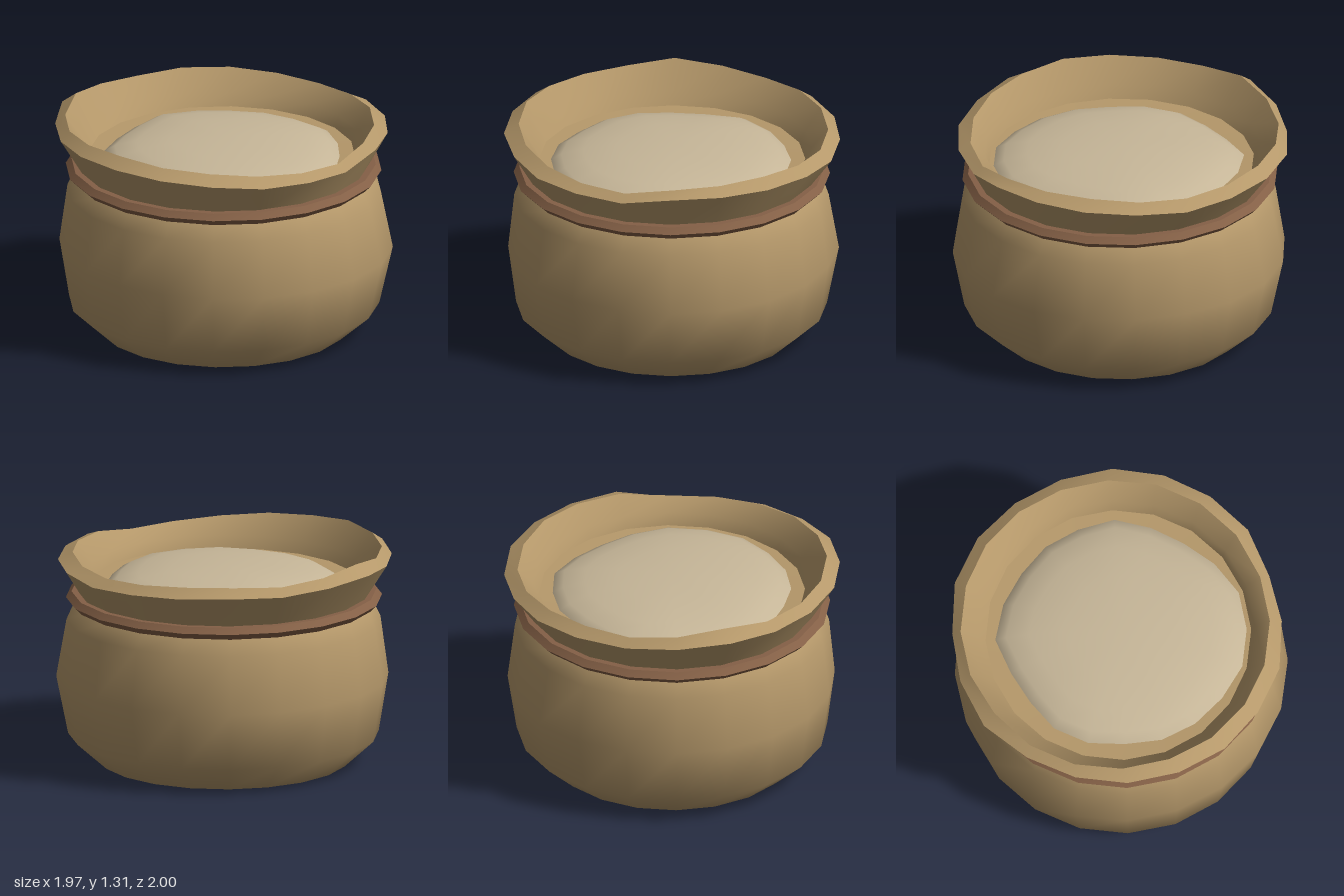
import * as THREE from 'three';
import { toCreasedNormals } from 'three/addons/utils/BufferGeometryUtils.js';

const SIDES = 20;

// Uneven measures, going round from the front towards the left (+x)
const rimRadius = [0.935, 0.96, 0.965, 0.975, 0.985, 0.985, 0.987, 1.0, 1.005, 0.985,
  1.0, 1.02, 0.99, 0.985, 0.99, 0.985, 0.985, 0.97, 0.97, 0.95];
const rimOuterY = [1.17, 1.22, 1.22, 1.215, 1.21, 1.19, 1.2, 1.21, 1.22, 1.21,
  1.23, 1.25, 1.23, 1.23, 1.24, 1.24, 1.23, 1.21, 1.19, 1.18];
const rimInnerY = [1.21, 1.25, 1.26, 1.265, 1.25, 1.24, 1.25, 1.265, 1.27, 1.26,
  1.28, 1.31, 1.28, 1.28, 1.29, 1.3, 1.28, 1.265, 1.24, 1.22];
const bellyRadius = [0.995, 1.0, 0.995, 0.985, 0.975, 0.965, 0.98, 0.985, 0.98, 0.97,
  0.965, 0.965, 0.965, 0.965, 0.96, 0.955, 0.96, 0.97, 0.98, 0.985];
const fillRadius = [0.76, 0.72, 0.69, 0.7, 0.73, 0.71, 0.71, 0.7, 0.72, 0.745,
  0.69, 0.68, 0.71, 0.71, 0.69, 0.71, 0.72, 0.73, 0.76, 0.76];

const pick = (v, i) => (typeof v === 'number' ? v : v[i]);

// Skins a stack of rings { r, y, z }, where r and y may vary round the ring
function skinRings(rings, crease) {
  const pos = [], index = [];
  for (const { r, y, z = 0 } of rings) {
    for (let i = 0; i < SIDES; i++) {
      const a = (i / SIDES) * Math.PI * 2;
      pos.push(Math.sin(a) * pick(r, i), pick(y, i), Math.cos(a) * pick(r, i) + z);
    }
  }
  for (let j = 0; j < rings.length - 1; j++) {
    for (let i = 0; i < SIDES; i++) {
      const a = j * SIDES + i, b = j * SIDES + (i + 1) % SIDES;
      const c = b + SIDES, d = a + SIDES;
      if (rings[j].r !== 0) index.push(a, b, c);
      if (rings[j + 1].r !== 0) index.push(a, c, d);
    }
  }
  // A ring closed to a point keeps the triangle that still has a base
  const last = rings.length - 1;
  const geo = new THREE.BufferGeometry();
  geo.setAttribute('position', new THREE.Float32BufferAttribute(pos, 3));
  geo.setIndex(index);
  geo.userData.closed = rings[last].r === 0;
  return toCreasedNormals(geo, crease);
}

export function createModel() {
  const mat = (name, color) => {
    const m = new THREE.MeshStandardMaterial({ color });
    m.name = name;
    return m;
  };
  const cloth = mat('burlap', 0xb5986a);
  const cord = mat('cord', 0x846046);
  const grain = mat('flour', 0xc6b698);

  const group = new THREE.Group();
  group.name = 'openSack';
  const add = (name, geo, material) => {
    const mesh = new THREE.Mesh(geo, material);
    mesh.name = name;
    group.add(mesh);
  };

  // Bulging body from the base centre up to the tied neck
  add('sackBody', skinRings([
    { r: 0, y: 0 },
    { r: 0.735, y: 0 },
    { r: 0.912, y: 0.16, z: 0.005 },
    { r: bellyRadius, y: 0.51 },
    { r: 0.922, y: 0.85, z: 0.005 },
    { r: 0.87, y: 0.955 },
    { r: 0.83, y: 0.99 },
  ], 1.0), cloth);

  // Flared collar: outer wall, thick rim, inner wall and inner ledge
  add('sackCollar', skinRings([
    { r: 0.835, y: 0.985 },
    { r: rimRadius, y: rimOuterY },
    { r: 0.908, y: rimInnerY, z: -0.03 },
    { r: 0.815, y: 1.14, z: -0.02 },
    { r: 0.78, y: 1.07, z: -0.01 },
    { r: 0.6, y: 1.06 },
  ], 0.6), cloth);

  // Cord tied round the neck
  add('neckCord', skinRings([
    { r: 0.83, y: 0.947 },
    { r: 0.89, y: 0.947 },
    { r: 0.928, y: 0.985 },
    { r: 0.895, y: 1.02 },
    { r: 0.83, y: 1.02 },
  ], 0.7), cord);

  // Heaped filling, rounded over towards its edge
  const heap = [[1.04, 1.0], [1, 1.06], [0.9, 1.1], [0.72, 1.135], [0.45, 1.16], [0.2, 1.17]]
    .map(([s, y]) => ({ r: fillRadius.map((r) => r * s), y }));
  add('filling', skinRings([...heap, { r: 0, y: 1.172 }], 1.4), grain);

  return group;
}
